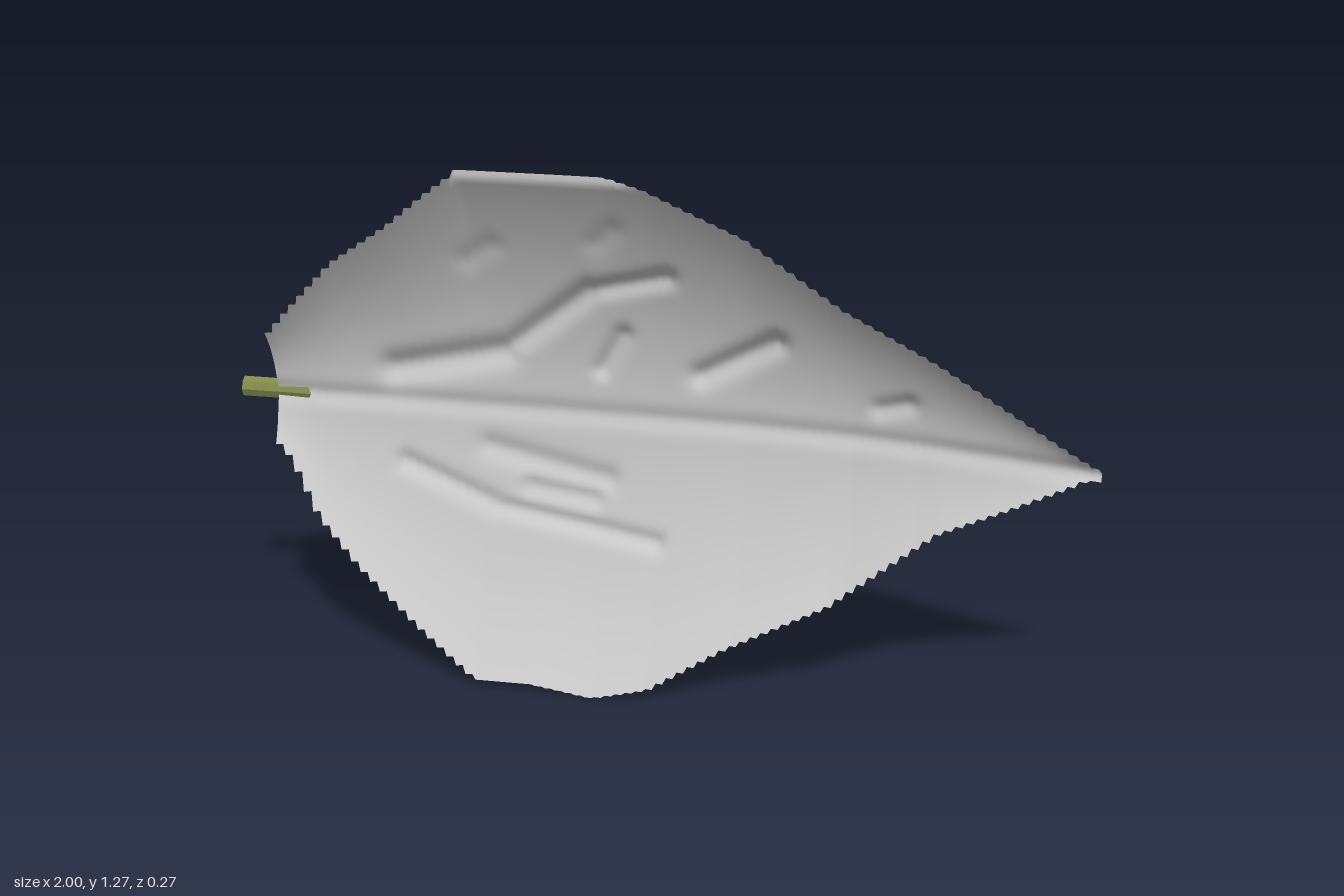
import * as THREE from 'three';

// Leaf outline and midrib, as [x, value] points
const TOP = [[-0.91, 0.82], [-0.85, 0.89], [-0.72, 1.03], [-0.58, 1.13], [-0.5, 1.2], [-0.4, 1.28], [-0.08, 1.28],
  [0, 1.26], [0.22, 1.15], [0.43, 0.99], [0.65, 0.87], [0.84, 0.75], [0.97, 0.67], [1, 0.65]];
const BOTTOM = [[-0.91, 0.55], [-0.87, 0.51], [-0.8, 0.38], [-0.7, 0.27], [-0.55, 0.14], [-0.41, 0.03], [-0.28, 0.03],
  [-0.13, 0.01], [0, 0.04], [0.17, 0.145], [0.41, 0.27], [0.65, 0.465], [0.81, 0.545], [0.97, 0.63], [1, 0.63]];
const RIB_Z = [[-0.91, -0.085], [-0.6, -0.093], [-0.2, -0.096], [0.2, -0.092], [0.45, -0.075], [0.6, -0.052],
  [0.8, -0.01], [1, 0.035]];

// Dents pressed into the front: x1, y1, x2, y2, width, depth
const DENTS = [
  [-0.62, 0.74, -0.36, 0.8, 0.045, 0.022], [-0.36, 0.8, -0.15, 0.97, 0.035, 0.02], [-0.15, 0.97, 0.03, 1.02, 0.03, 0.016],
  [-0.13, 0.77, -0.08, 0.86, 0.028, 0.015], [0.1, 0.77, 0.27, 0.87, 0.035, 0.02], [0.51, 0.73, 0.57, 0.75, 0.03, 0.012],
  [-0.6, 0.51, -0.38, 0.42, 0.03, 0.012], [-0.38, 0.42, 0, 0.36, 0.025, 0.012], [-0.4, 0.56, -0.12, 0.5, 0.035, 0.012],
  [-0.3, 0.47, -0.15, 0.45, 0.03, 0.01], [-0.42, 1.04, -0.36, 1.08, 0.035, 0.006], [-0.12, 1.1, -0.08, 1.14, 0.035, 0.006],
];

function lerpTable(table, x) {
  let i = 1;
  while (i < table.length - 1 && x > table[i][0]) i++;
  const [x0, v0] = table[i - 1], [x1, v1] = table[i];
  return THREE.MathUtils.lerp(v0, v1, THREE.MathUtils.clamp((x - x0) / (x1 - x0), 0, 1));
}

const ribY = (x) => 0.655 - 0.01 * x;

function dentDepth(x, y) {
  let depth = 0;
  for (const [x1, y1, x2, y2, w, d] of DENTS) {
    const dx = x2 - x1, dy = y2 - y1;
    const t = THREE.MathUtils.clamp(((x - x1) * dx + (y - y1) * dy) / (dx * dx + dy * dy), 0, 1);
    const r = Math.hypot(x - x1 - t * dx, y - y1 - t * dy) / w;
    depth = Math.max(depth, d * Math.exp(-r * r * 1.5));
  }
  return depth;
}

// Height of the blade: cupped on both sides of the midrib, with groove and dents
function bladeZ(x, y) {
  const mid = ribY(x);
  const up = y > mid;
  const d = Math.min(y, 1.262) - mid;
  const width = Math.max(0.03, Math.abs(lerpTable(up ? TOP : BOTTOM, x) - mid));
  const cup = (up ? 0.37 : 0.255) * d * d / width;
  const groove = 0.009 * Math.exp(-((y - mid) ** 2) / 0.0006);
  return lerpTable(RIB_Z, x) + cup - groove - dentDepth(x, y);
}

// Blade grid; the rim is stepped in small teeth
function bladeGeometry() {
  const cols = 240, rows = 120;
  const geo = new THREE.PlaneGeometry(1, 1, cols, rows);
  const pos = geo.attributes.position;
  for (let j = 0; j <= rows; j++) {
    for (let i = 0; i <= cols; i++) {
      const x = -0.91 + 1.91 * i / cols;
      const stepX = Math.min(1, -0.91 + 1.91 * (Math.floor(i / 3) * 3 + 1) / cols);
      const y = THREE.MathUtils.lerp(lerpTable(TOP, stepX), lerpTable(BOTTOM, stepX), j / rows);
      pos.setXYZ(j * (cols + 1) + i, x, y, bladeZ(x, y));
    }
  }
  geo.computeVertexNormals();
  return geo;
}

// Stem: eight-sided rod, its inner end cut on a slant towards the blade
function stemGeometry() {
  const geo = new THREE.CylinderGeometry(0.025, 0.025, 0.14, 8).toNonIndexed();
  geo.rotateZ(-Math.PI / 2);
  const pos = geo.attributes.position;
  for (let i = 0; i < pos.count; i++) {
    const inner = pos.getX(i) > 0;
    pos.setX(i, inner ? -0.86 + 1.2 * pos.getZ(i) : -1);
  }
  geo.translate(0, 0.66, -0.113);
  geo.computeVertexNormals();
  return geo;
}

export function createModel() {
  const group = new THREE.Group();
  group.name = 'leaf';

  const blade = new THREE.Mesh(bladeGeometry(),
    new THREE.MeshStandardMaterial({ color: 0xcccccc, side: THREE.DoubleSide }));
  blade.name = 'leafBlade';

  const stem = new THREE.Mesh(stemGeometry(), new THREE.MeshStandardMaterial({ color: 0x7f8a4a, flatShading: true }));
  stem.name = 'stem';

  group.add(blade, stem);
  return group;
}
